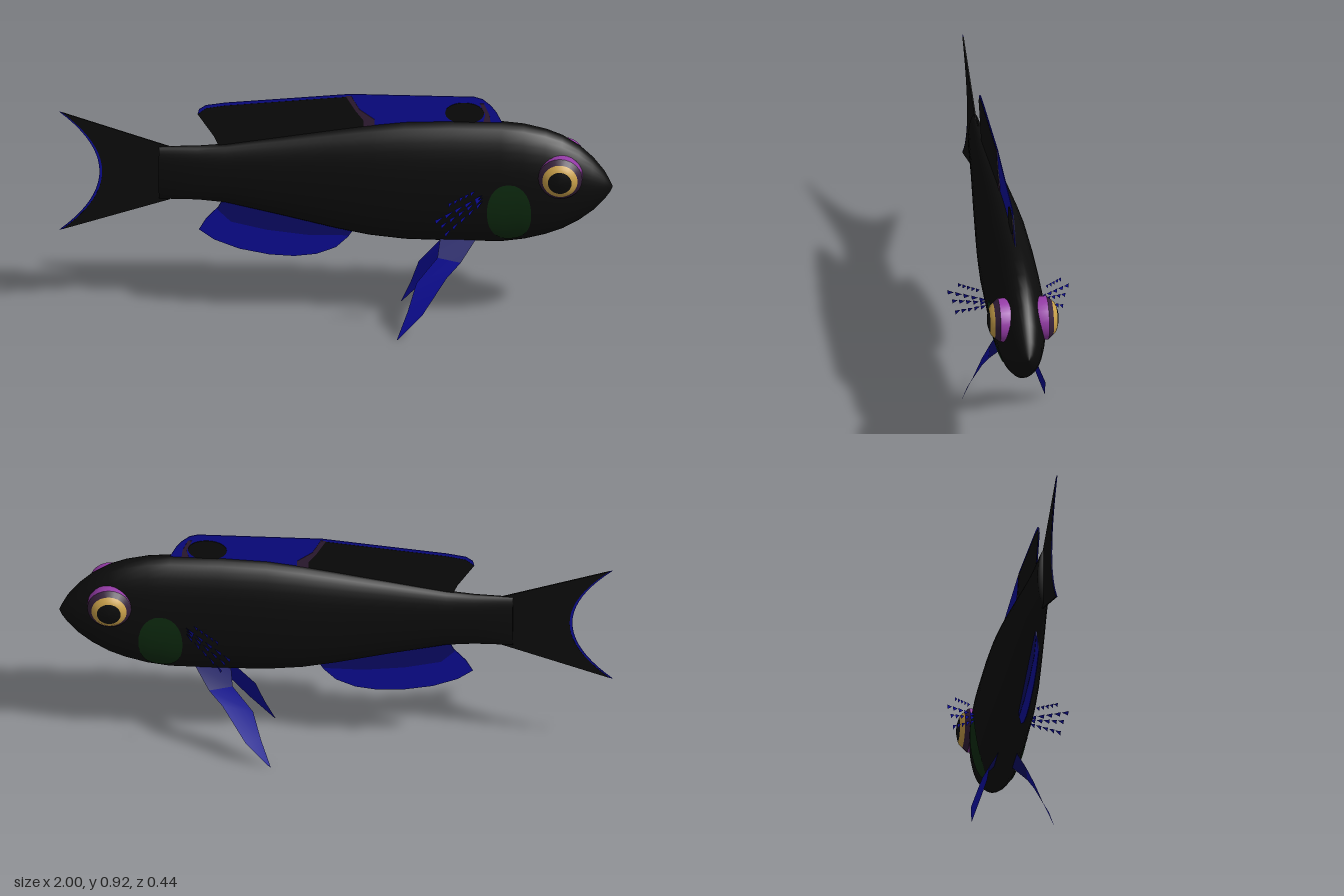
import * as THREE from 'three';

const mat = (name, color, side = THREE.FrontSide) => {
  const m = new THREE.MeshStandardMaterial({ color, side });
  m.name = name;
  return m;
};

// Body stations: x, bottom y, top y, half width
const STATIONS = [
  [-0.64, 0.477, 0.69, 0.024], [-0.5, 0.478, 0.695, 0.035], [-0.4, 0.47, 0.705, 0.043],
  [-0.2, 0.425, 0.74, 0.06], [0, 0.377, 0.775, 0.076], [0.12, 0.353, 0.795, 0.085],
  [0.25, 0.34, 0.812, 0.092], [0.42, 0.338, 0.82, 0.095], [0.6, 0.34, 0.82, 0.095],
  [0.68, 0.352, 0.812, 0.094], [0.76, 0.374, 0.793, 0.09], [0.82, 0.398, 0.769, 0.082],
  [0.88, 0.434, 0.73, 0.07], [0.93, 0.474, 0.682, 0.056], [0.97, 0.518, 0.63, 0.036],
  [0.99, 0.546, 0.592, 0.018], [1, 0.566, 0.57, 0.002],
];

// Half width of the body surface at a point of the side view
function bodyZ(x, y) {
  const i = Math.max(1, STATIONS.findIndex((s) => s[0] >= x));
  const a = STATIONS[i - 1], b = STATIONS[i], t = (x - a[0]) / (b[0] - a[0]);
  const [, lo, hi, w] = a.map((v, k) => v + (b[k] - v) * t);
  const d = (y - (lo + hi) / 2) / ((hi - lo) / 2);
  return w * Math.sqrt(Math.max(0, 1 - d * d));
}

function surface(points, index) {
  const g = new THREE.BufferGeometry();
  g.setAttribute('position', new THREE.Float32BufferAttribute(points.flat(), 3));
  g.setIndex(index);
  g.computeVertexNormals();
  return g;
}

function bodyGeometry(n = 36) {
  const pts = [], idx = [];
  for (const [x, lo, hi, w] of STATIONS) {
    for (let j = 0; j < n; j++) {
      const a = (j / n) * Math.PI * 2;
      pts.push([x, (lo + hi) / 2 + Math.cos(a) * (hi - lo) / 2, Math.sin(a) * w]);
    }
  }
  for (let i = 0; i < STATIONS.length - 1; i++) {
    for (let j = 0; j < n; j++) {
      const k = (j + 1) % n, a = i * n + j, b = i * n + k;
      idx.push(a, b, a + n, b, b + n, a + n);
    }
  }
  // close the tail end and the snout
  const end = (STATIONS.length - 1) * n;
  for (let j = 1; j < n - 1; j++) idx.push(0, j + 1, j, end, end + j, end + j + 1);
  return surface(pts, idx);
}

// Rounded patch that follows the body side
function patchGeometry(cx, cy, rx, ry, side, rings = 7, n = 28) {
  const pts = [], idx = [];
  for (let r = 0; r <= rings; r++) {
    for (let j = 0; j < n; j++) {
      const a = (j / n) * Math.PI * 2, c = Math.cos(a), s = Math.sin(a);
      const x = cx + Math.sign(c) * Math.abs(c) ** 0.9 * rx * r / rings;
      const y = cy + Math.sign(s) * Math.abs(s) ** 0.9 * ry * r / rings;
      pts.push([x, y, side * (bodyZ(x, y) + 0.003)]);
      if (r < rings) {
        const p = r * n + j, q = r * n + (j + 1) % n;
        if (side > 0) idx.push(p, p + n, q, q, p + n, q + n);
        else idx.push(p, q, p + n, q, q + n, p + n);
      }
    }
  }
  return surface(pts, idx);
}

export function createModel() {
  const model = new THREE.Group();
  const black = mat('black', 0x0c0c0c);
  const blue = mat('blue', 0x0c0c98, THREE.DoubleSide);
  const navy = mat('navy', 0x0a0a68, THREE.DoubleSide);
  const green = mat('green', 0x0e2c10, THREE.DoubleSide);
  const purple = mat('purple', 0x963ca8);
  const plum = mat('plum', 0x35203a);
  const gold = mat('gold', 0xc9a04a);

  const add = (name, geometry, material, parent = model) => {
    const m = new THREE.Mesh(geometry, material);
    m.name = name;
    parent.add(m);
    return m;
  };
  // Thin upright plate on the centre plane
  const plate = (name, pts, material, depth = 0.003) => {
    const shape = pts instanceof THREE.Shape ? pts
      : new THREE.Shape(pts.map((p) => new THREE.Vector2(...p)));
    const g = new THREE.ExtrudeGeometry(shape, { depth, bevelEnabled: false, curveSegments: 20 });
    return add(name, g.translate(0, 0, -depth / 2), material);
  };

  add('body', bodyGeometry(), black);

  // Tail fin with a narrow coloured trailing edge
  const tail = (inset) => {
    const s = new THREE.Shape();
    s.moveTo(-0.6, 0.69);
    s.lineTo(-1 + inset, 0.822 - inset * 0.3);
    s.quadraticCurveTo(-0.71 + inset, 0.584, -1 + inset, 0.34 + inset * 0.3);
    s.lineTo(-0.6, 0.476);
    return s;
  };
  plate('tailFinEdge', tail(0), blue);
  plate('tailFin', tail(0.01), black, 0.005);

  // Dorsal fin: blue sheet, black rear, stripes and spot
  plate('dorsalFin', [[-0.42, 0.69], [-0.44, 0.735], [-0.5, 0.825], [-0.495, 0.845], [-0.47, 0.862],
    [-0.4, 0.874], [-0.15, 0.9], [0.05, 0.921], [0.5, 0.921], [0.53, 0.912], [0.56, 0.887],
    [0.58, 0.86], [0.605, 0.81], [0.4, 0.78], [0.1, 0.76], [-0.2, 0.7]], blue);
  plate('dorsalFinRear', [[-0.42, 0.69], [-0.44, 0.735], [-0.5, 0.825], [-0.47, 0.85], [-0.4, 0.863],
    [-0.15, 0.89], [0.04, 0.91], [0.13, 0.8], [0.1, 0.76], [-0.2, 0.7]], black, 0.005);
  plate('dorsalStripe', [[0.035, 0.914], [0.055, 0.914], [0.085, 0.86], [0.14, 0.82], [0.14, 0.79],
    [0.1, 0.79], [0.1, 0.815], [0.07, 0.855]], plum, 0.007);
  plate('dorsalFrontStripe', [[0.52, 0.895], [0.535, 0.895], [0.555, 0.85], [0.56, 0.81],
    [0.53, 0.81], [0.54, 0.85]], plum, 0.006);
  const spot = new THREE.Shape();
  spot.absellipse(0.465, 0.855, 0.07, 0.042, 0, Math.PI * 2);
  plate('dorsalSpot', spot, black, 0.008);

  // Anal fin with a darker upper band
  plate('analFin', [[0.07, 0.38], [0.045, 0.34], [0, 0.295], [-0.07, 0.266], [-0.15, 0.255],
    [-0.24, 0.259], [-0.35, 0.28], [-0.44, 0.315], [-0.495, 0.355], [-0.47, 0.4],
    [-0.42, 0.455], [-0.4, 0.5], [-0.1, 0.44]], blue);
  plate('analFinBand', [[0.07, 0.38], [0.045, 0.345], [-0.1, 0.343], [-0.25, 0.36], [-0.38, 0.39],
    [-0.43, 0.44], [-0.4, 0.5], [-0.1, 0.44]], navy, 0.005);

  // Eye rings turned around the z axis: radius, distance from the middle
  const EYE = [
    ['eyeSocket', [[0.07, 0.03], [0.08, 0.055], [0.08, 0.088]], purple],
    ['eyeRim', [[0.08, 0.088], [0.064, 0.106]], plum],
    ['iris', [[0.064, 0.106], [0.054, 0.117], [0.043, 0.122]], gold],
    ['pupil', [[0.043, 0.122], [0.022, 0.128], [0, 0.13]], black],
  ];

  for (const side of [1, -1]) {
    const group = new THREE.Group();
    group.name = side > 0 ? 'nearSide' : 'farSide';
    model.add(group);

    for (const [name, profile, material] of EYE) {
      const g = new THREE.LatheGeometry(profile.map((p) => new THREE.Vector2(...p)), 24);
      add(name, g.rotateX(side * Math.PI / 2).translate(0.815, 0.64, 0), material, group);
    }

    add('gillPatch', patchGeometry(0.63, 0.492, 0.08, 0.122, side), green, group);

    // Pelvic fin: strip between its rear and front edges
    const rear = [[0.38, 0.37, 0.025], [0.37, 0.295, 0.066], [0.295, 0.2, 0.086], [0.265, 0.1, 0.118], [0.228, 0.002, 0.15]];
    const front = [[0.51, 0.36, 0.03], [0.455, 0.285, 0.082], [0.405, 0.23, 0.1], [0.32, 0.1, 0.142], [0.23, 0, 0.151]];
    const strip = (from, to) => {
      const pts = [], idx = [];
      for (let i = from; i <= to; i++) {
        for (const p of [rear[i], front[i]]) pts.push([p[0], p[1], p[2] * side]);
        const k = (i - from) * 2;
        if (i < to) idx.push(k, k + 2, k + 1, k + 1, k + 2, k + 3);
      }
      return surface(pts, idx);
    };
    add('pelvicFinBase', strip(0, 1), navy, group);
    add('pelvicFin', strip(1, 4), blue, group);

    // Pectoral fin: rows of small slivers fanning back from the root
    const rays = [[0.12, 0.6, 0.19, 0.578], [0.1, 0.574, 0.225, 0.525],
      [0.1, 0.564, 0.21, 0.497], [0.1, 0.55, 0.2, 0.457]];
    const pts = [], idx = [];
    for (const [z0, y0, z1, y1] of rays) {
      const n = 5;
      for (let i = 0; i < n; i++) {
        const at = (t, dy) => {
          const z = z0 + (z1 - z0) * t;
          return [0.55 - (z - 0.09) * 1.38, y0 + (y1 - y0) * t + dy, z * side];
        };
        const k = pts.length;
        pts.push(at(i / n, 0), at((i + 0.85) / n, 0.003), at((i + 0.75) / n, -0.014));
        idx.push(k, k + 1, k + 2);
      }
    }
    add('pectoralFin', surface(pts, idx), blue, group);
  }
  return model;
}
